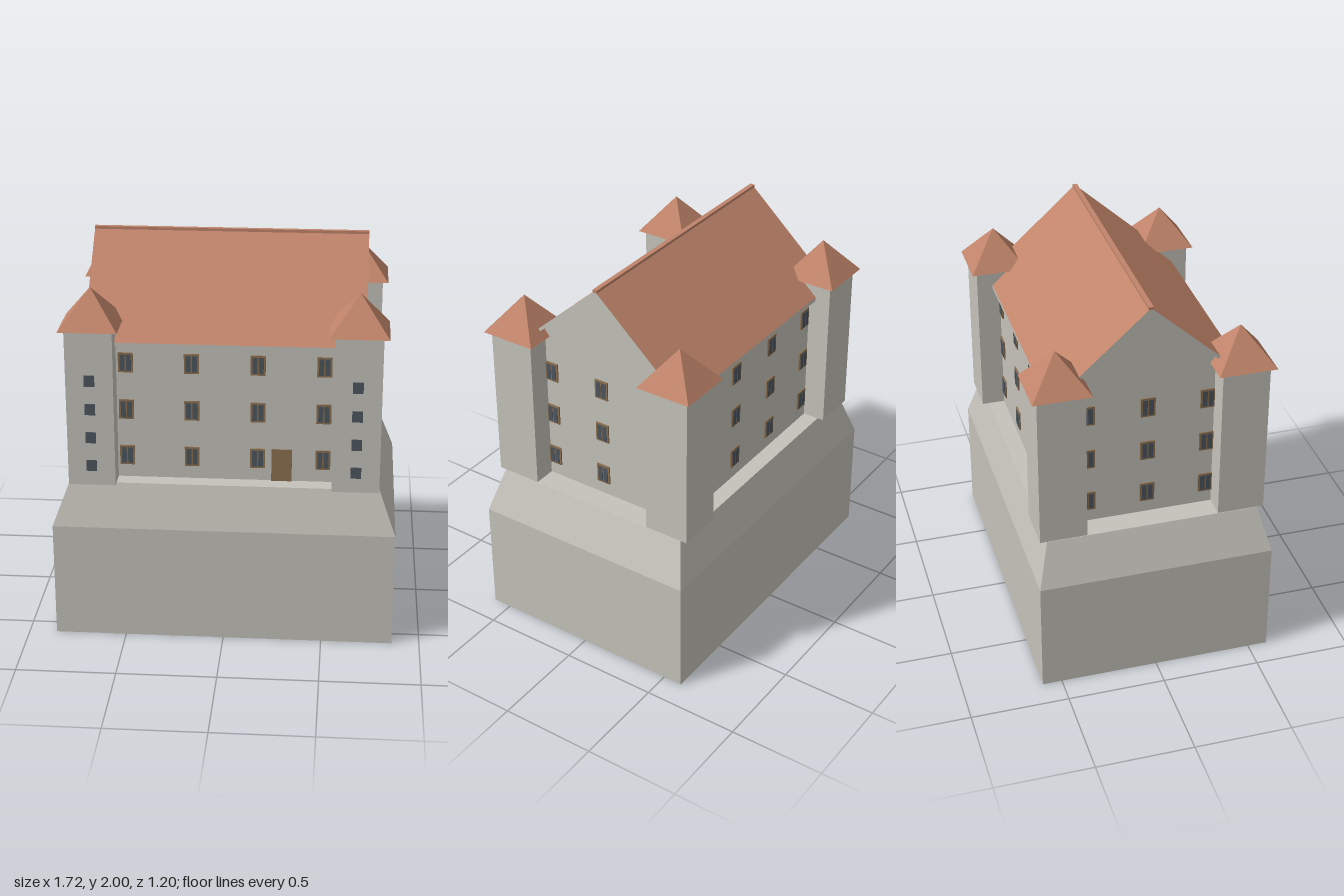
import * as THREE from 'three';

const mat = (name, color) => {
  const m = new THREE.MeshStandardMaterial({ color });
  m.name = name;
  return m;
};

export function createModel() {
  const wall = mat('wall stone', 0xc4c2ba);
  const roof = mat('roof tile', 0xc0846a);
  const glass = mat('window glass', 0x4c555e);
  const wood = mat('wood', 0x8c7050);

  const model = new THREE.Group();
  model.name = 'castle';

  const add = (parent, name, geometry, material, x = 0, y = 0, z = 0) => {
    const mesh = new THREE.Mesh(geometry, material);
    mesh.name = name;
    mesh.position.set(x, y, z);
    parent.add(mesh);
    return mesh;
  };
  const box = (w, h, d) => new THREE.BoxGeometry(w, h, d);

  const FLOOR = 0.825; // top of the foundation
  const HX = 0.655, HZ = 0.455; // half size of the hall, also the tower centres

  // Foundation: a block with a battered upper course
  add(model, 'foundation', box(1.72, 0.6, 1.2), wall, 0, 0.3, 0);
  const batter = box(1.72, FLOOR - 0.6, 1.2);
  const bp = batter.attributes.position;
  for (let i = 0; i < bp.count; i++) {
    if (bp.getY(i) > 0) {
      bp.setX(i, Math.sign(bp.getX(i)) * 0.775);
      bp.setZ(i, Math.sign(bp.getZ(i)) * 0.54);
    }
  }
  batter.computeVertexNormals();
  add(model, 'batteredBase', batter, wall, 0, (0.6 + FLOOR) / 2, 0);

  // Hall with gable ends
  const RIDGE = 1.996, EAVE_Z = 0.4925, THICK = 0.02;
  const SLOPE = (RIDGE - 1.55) / EAVE_Z;
  const top = RIDGE - THICK;
  const gable = new THREE.Shape();
  gable.moveTo(-HZ, FLOOR);
  gable.lineTo(HZ, FLOOR);
  gable.lineTo(HZ, top - SLOPE * HZ);
  gable.lineTo(0, top);
  gable.lineTo(-HZ, top - SLOPE * HZ);
  const hall = new THREE.ExtrudeGeometry(gable, { depth: 2 * HX, bevelEnabled: false });
  hall.translate(0, 0, -HX);
  hall.rotateY(Math.PI / 2);
  add(model, 'hall', hall, wall);

  // Two sloping roof slabs with pale edges
  const slab = box(1.38, THICK, EAVE_Z);
  slab.translate(0, RIDGE - THICK / 2, EAVE_Z / 2);
  const sp = slab.attributes.position;
  for (let i = 0; i < sp.count; i++) sp.setY(i, sp.getY(i) - SLOPE * sp.getZ(i));
  slab.computeVertexNormals();
  const slabMaterials = [wall, wall, roof, roof, wall, wall];
  add(model, 'frontRoofSlab', slab, slabMaterials);
  add(model, 'backRoofSlab', slab, slabMaterials).rotation.y = Math.PI;
  add(model, 'ridgeCap', box(1.38, 0.014, 0.024), roof, 0, 1.993, 0);

  // Corner towers with pyramid roofs; slit windows all face the front
  const TOP = 1.632;
  let pyramid = new THREE.ConeGeometry(0.146 * Math.SQRT2, 1.82 - TOP, 4);
  pyramid.rotateY(Math.PI / 4);
  pyramid = pyramid.toNonIndexed();
  pyramid.computeVertexNormals();
  for (const sx of [-1, 1]) {
    for (const sz of [-1, 1]) {
      const tower = new THREE.Group();
      tower.name = `${sz > 0 ? 'front' : 'back'}${sx > 0 ? 'Left' : 'Right'}Tower`;
      tower.position.set(sx * HX, 0, sz * HZ);
      model.add(tower);
      add(tower, 'towerWall', box(0.235, TOP - FLOOR, 0.238), wall, 0, (TOP + FLOOR) / 2, 0);
      add(tower, 'towerRoof', pyramid, roof, 0, (TOP + 1.82) / 2, 0);
      for (let i = 0; i < 4; i++) {
        add(tower, 'towerWindow', box(0.052, 0.058, 0.006), glass, 0, 0.93 + i * 0.149, 0.119);
      }
    }
  }

  // Framed two-pane windows, laid out on each wall facing its own +z
  const frame = box(0.074, 0.102, 0.009);
  const pane = box(0.024, 0.084, 0.003);
  const addWindows = (name, angle, distance, columns) => {
    const side = new THREE.Group();
    side.name = name;
    side.rotation.y = angle;
    model.add(side);
    for (const y of [0.944, 1.19, 1.437]) {
      for (const x of columns) {
        add(side, 'windowFrame', frame, wood, x, y, distance + 0.003);
        for (const s of [-1, 1]) {
          add(side, 'windowPane', pane, glass, x + s * 0.0155, y, distance + 0.0085);
        }
      }
    }
  };
  const long = [-0.49, -0.164, 0.164, 0.49], short = [-0.302, 0, 0.302];
  addWindows('frontWindows', 0, HZ, long);
  addWindows('backWindows', Math.PI, HZ, long);
  addWindows('leftWindows', Math.PI / 2, HX, short);
  addWindows('rightWindows', -Math.PI / 2, HX, short);

  // Entrance door
  add(model, 'door', box(0.102, 0.17, 0.009), wood, 0.284, FLOOR + 0.085, HZ + 0.003);

  return model;
}
